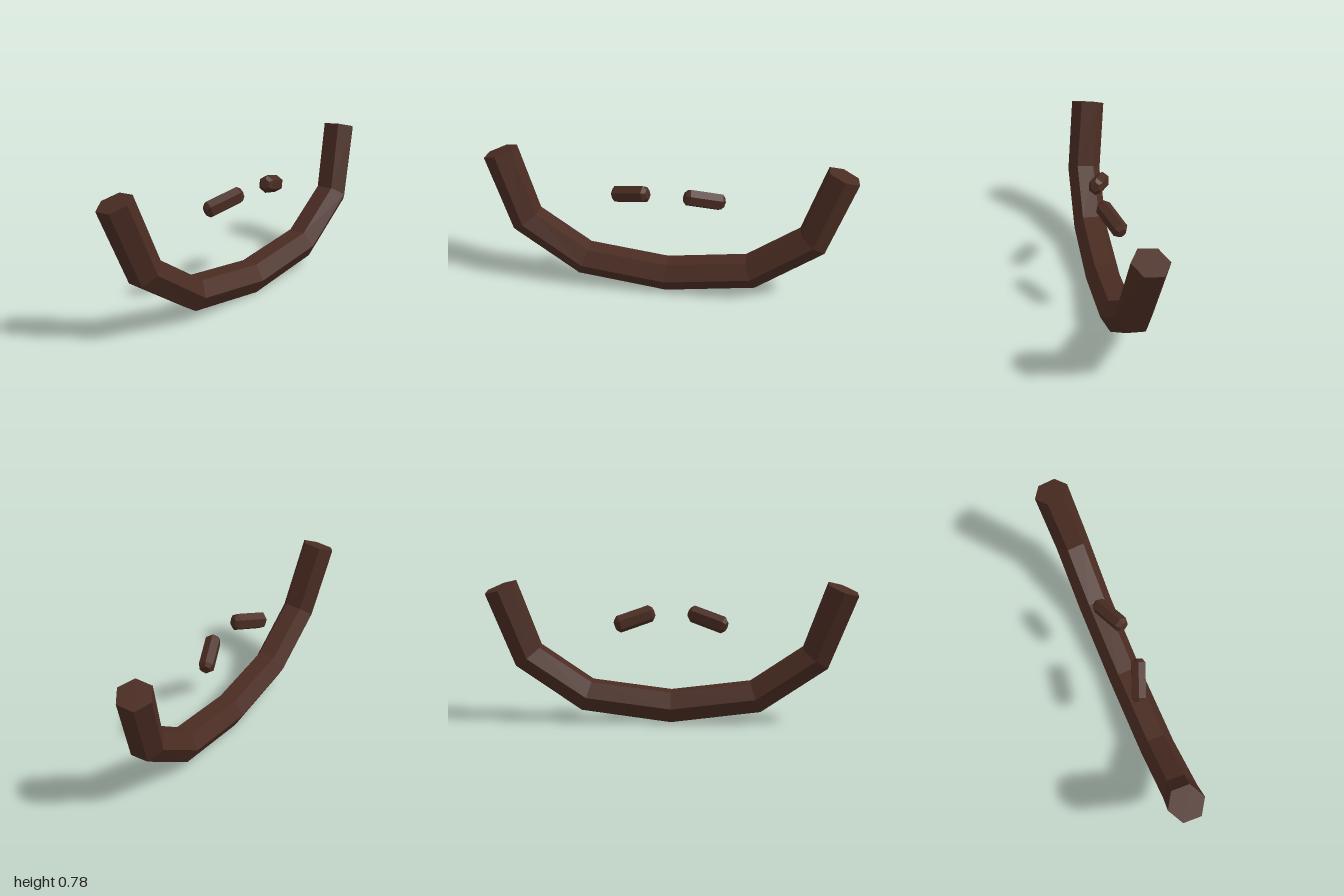
import * as THREE from 'three';

const SIDES = 6;

// Gives every facet its own flat normal
function faceted(geometry) {
  const g = geometry.index ? geometry.toNonIndexed() : geometry;
  g.computeVertexNormals();
  return g;
}

// Six-sided closed tube whose rings are square to the averaged path direction
function hexTube(path, radius) {
  const positions = [];
  const last = path.length - 1;
  path.forEach((p, i) => {
    const before = path[Math.max(i - 1, 0)];
    const after = path[Math.min(i + 1, last)];
    const along = after.clone().sub(before).normalize();
    const depth = new THREE.Vector3(0, 0, 1).addScaledVector(along, -along.z).normalize();
    const out = depth.clone().cross(along);
    for (let k = 0; k < SIDES; k++) {
      const a = ((k + 0.5) / SIDES) * Math.PI * 2;
      const v = p.clone()
        .addScaledVector(out, radius * Math.cos(a))
        .addScaledVector(depth, radius * Math.sin(a));
      positions.push(v.x, v.y, v.z);
    }
  });

  const index = [];
  for (let i = 0; i < last; i++) {
    for (let k = 0; k < SIDES; k++) {
      const a = i * SIDES + k;
      const b = i * SIDES + ((k + 1) % SIDES);
      index.push(a, b, b + SIDES, a, b + SIDES, a + SIDES);
    }
  }
  // End caps
  const end = last * SIDES;
  for (let k = 1; k < SIDES - 1; k++) {
    index.push(0, k + 1, k);
    index.push(end, end + k, end + k + 1);
  }
  const g = new THREE.BufferGeometry();
  g.setAttribute('position', new THREE.Float32BufferAttribute(positions, 3));
  g.setIndex(index);
  return faceted(g);
}

// Short hexagonal bar with bevelled ends, slightly flattened front to back
function bevelledBar() {
  const profile = [
    [0, -0.113], [0.028, -0.113], [0.048, -0.093],
    [0.048, 0.093], [0.028, 0.113], [0, 0.113],
  ].map(([r, y]) => new THREE.Vector2(r, y));
  const g = new THREE.LatheGeometry(profile, SIDES);
  g.scale(0.89, 1, 1);
  return faceted(g);
}

export function createModel() {
  const model = new THREE.Group();
  const brown = new THREE.MeshStandardMaterial({ color: 0x4a2c22 });
  brown.name = 'dark brown';

  // Wide curved bar, rising and leaning back at both ends
  const half = [
    [0, 0.083, 0.033], [0.465, 0.143, 0.03],
    [0.787, 0.366, 0.017], [0.922, 0.747, -0.032],
  ];
  const path = [
    ...half.slice(1).reverse().map(([x, y, z]) => new THREE.Vector3(-x, y, z)),
    ...half.map((p) => new THREE.Vector3(...p)),
  ];
  const bar = new THREE.Mesh(hexTube(path, 0.096), brown);
  bar.name = 'curvedBar';
  model.add(bar);

  // Pair of small bars, each sloping down and back towards its outer end
  for (const side of [1, -1]) {
    const axis = new THREE.Vector3(side * 0.9, -0.28, -0.34).normalize();
    const up = new THREE.Vector3(0, 1, 0).addScaledVector(axis, -axis.y).normalize();
    const across = axis.clone().cross(up);
    const small = new THREE.Mesh(bevelledBar(), brown);
    small.name = side > 0 ? 'leftSmallBar' : 'rightSmallBar';
    small.quaternion.setFromRotationMatrix(new THREE.Matrix4().makeBasis(across, axis, up));
    small.position.set(side * 0.2, 0.57, 0.02);
    model.add(small);
  }
  return model;
}
